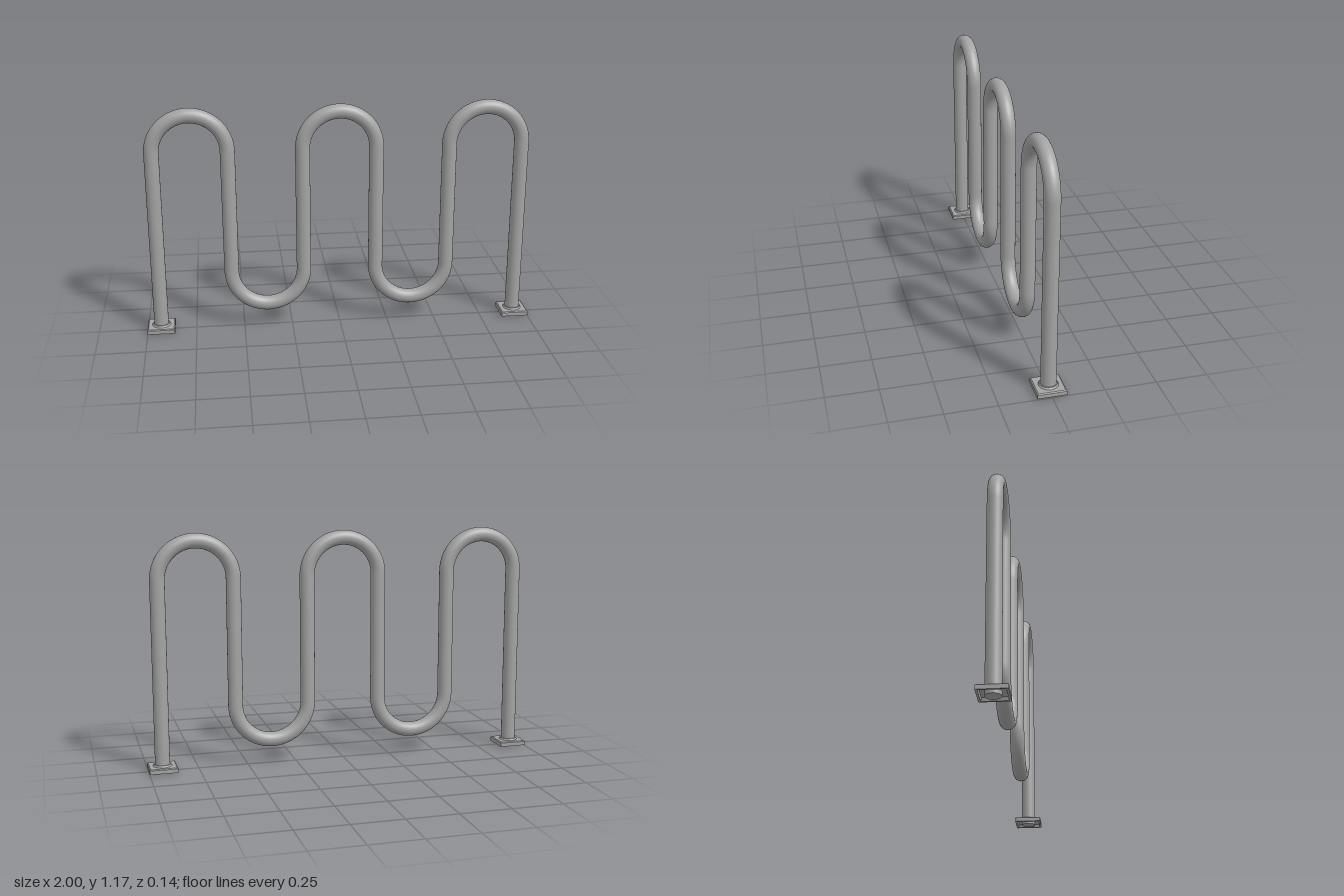
import * as THREE from 'three';

const PIPE = 0.037; // pipe radius
const BEND = 0.186; // bend centreline radius
const TOP = 0.952; // height where upper bends begin
const LOW = 0.308; // height where lower bends begin

export function createModel() {
  const root = new THREE.Group();
  root.name = 'waveBikeRack';
  const steel = new THREE.MeshStandardMaterial({ color: 0xa3a3a3 });
  steel.name = 'galvanisedSteel';

  const add = (parent, name, geometry, x, y) => {
    const mesh = new THREE.Mesh(geometry, steel);
    mesh.name = name;
    mesh.position.set(x, y, 0);
    parent.add(mesh);
    return mesh;
  };

  // Six upright pipes; the outer two run down to the ground
  for (let i = 0; i < 6; i++) {
    const outer = i === 0 || i === 5;
    const base = outer ? 0 : LOW;
    const pipe = new THREE.CylinderGeometry(PIPE, PIPE, TOP - base, 32, 1, !outer);
    add(root, outer ? 'endPost' : 'upright', pipe, (2 * i - 5) * BEND, (TOP + base) / 2);
  }

  // Half-circle bends, alternately over and under
  for (let i = 0; i < 5; i++) {
    const upper = i % 2 === 0;
    const bend = new THREE.TorusGeometry(BEND, PIPE, 32, 40, Math.PI);
    const mesh = add(root, upper ? 'upperBend' : 'lowerBend', bend, (2 * i - 4) * BEND, upper ? TOP : LOW);
    if (!upper) mesh.rotation.z = Math.PI;
  }

  // Square foot plate, hollow beneath, with a chamfered top: [half width, y]
  const plateProfile = [
    [0, 0.02], [0.056, 0.02], [0.06, 0.004], [0.07, 0.004],
    [0.07, 0.024], [0.065, 0.028], [0, 0.028],
  ].map(([h, y]) => new THREE.Vector2(h * Math.SQRT2, y));
  const plate = new THREE.LatheGeometry(plateProfile, 4, Math.PI / 4).toNonIndexed();
  plate.computeVertexNormals();

  // Weld collar around the pipe
  const collar = new THREE.CylinderGeometry(0.042, 0.049, 0.01, 32);

  for (const side of [-1, 1]) {
    const foot = new THREE.Group();
    foot.name = side > 0 ? 'leftFoot' : 'rightFoot';
    foot.position.x = side * 5 * BEND;
    add(foot, 'footPlate', plate, 0, 0);
    add(foot, 'weldCollar', collar, 0, 0.031);
    root.add(foot);
  }
  return root;
}
